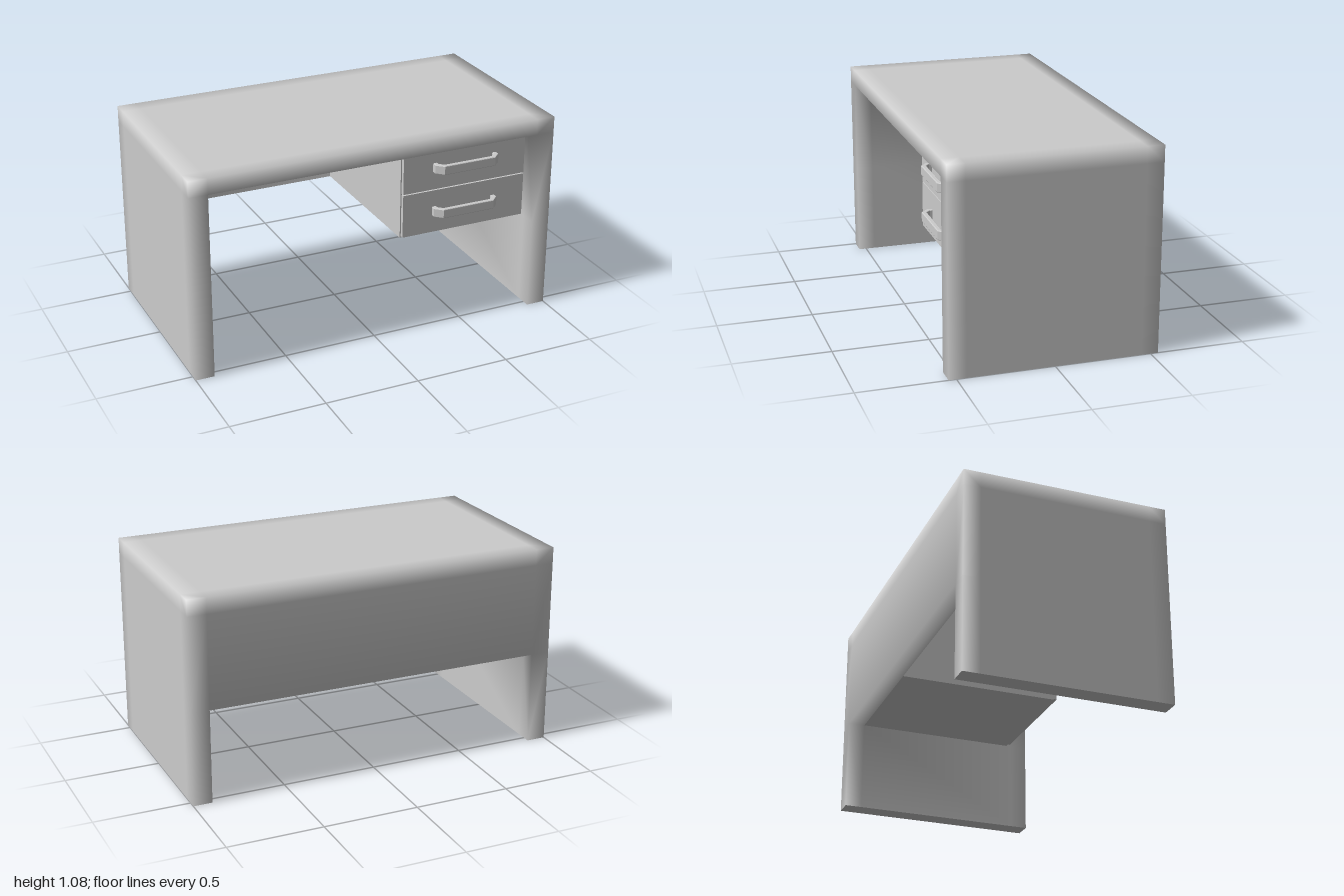
import * as THREE from 'three';

const mat = new THREE.MeshStandardMaterial({ color: 0xcccccc });

function add(parent, name, geometry, x = 0, y = 0, z = 0) {
  const mesh = new THREE.Mesh(geometry, mat);
  mesh.name = name;
  mesh.position.set(x, y, z);
  parent.add(mesh);
  return mesh;
}

function box(parent, name, x0, x1, y0, y1, z0, z1) {
  return add(parent, name, new THREE.BoxGeometry(x1 - x0, y1 - y0, z1 - z0),
    (x0 + x1) / 2, (y0 + y1) / 2, (z0 + z1) / 2);
}

// Skin of a set of filled grid cells, with normals blended across shared corners.
// Downward faces on the floor keep their own flat normals.
function cellSkin(grid, filled) {
  const positions = [], normals = [], index = [], lookup = new Map();
  const inside = (c) => c.every((v, a) => v >= 0 && v < grid[a].length - 1) && filled(...c);

  const vertex = (corner, normal, flat) => {
    const key = corner.join() + flat;
    if (!lookup.has(key)) {
      lookup.set(key, positions.length / 3);
      positions.push(...corner.map((v, a) => grid[a][v]));
      normals.push(0, 0, 0);
    }
    const i = lookup.get(key);
    normal.forEach((v, a) => { normals[i * 3 + a] += v; });
    return i;
  };

  for (let i = 0; i < grid[0].length - 1; i++)
    for (let j = 0; j < grid[1].length - 1; j++)
      for (let k = 0; k < grid[2].length - 1; k++) {
        const cell = [i, j, k];
        if (!inside(cell)) continue;
        for (let axis = 0; axis < 3; axis++)
          for (const dir of [-1, 1]) {
            const next = [...cell];
            next[axis] += dir;
            if (inside(next)) continue;
            const u = (axis + 1) % 3, v = (axis + 2) % 3;
            const normal = [0, 0, 0];
            normal[axis] = dir;
            const flat = axis === 1 && dir < 0 && j === 0;
            const q = [[0, 0], [1, 0], [1, 1], [0, 1]].map(([du, dv]) => {
              const corner = [...cell];
              corner[u] += du;
              corner[v] += dv;
              if (dir > 0) corner[axis] += 1;
              return vertex(corner, normal, flat);
            });
            if (dir < 0) q.reverse();
            index.push(q[0], q[1], q[2], q[0], q[2], q[3]);
          }
      }

  const g = new THREE.BufferGeometry();
  g.setAttribute('position', new THREE.Float32BufferAttribute(positions, 3));
  g.setAttribute('normal', new THREE.Float32BufferAttribute(normals, 3));
  g.setIndex(index);
  g.normalizeNormals();
  return g;
}

// U-shaped pull with slanted corners, lying in the x-z plane
function handleGeometry() {
  const b = 0.004, w = 0.184 - b, d = 0.06 - b, t = 0.016, h = 0.05;
  const outer = [[-w, 0], [-w, 0.022], [-w + 0.035, d], [w - 0.035, d], [w, 0.022], [w, 0]];
  const inner = [[w - t, 0], [w - t, 0.016], [w - 0.042, d - t],
    [-w + 0.042, d - t], [-w + t, 0.016], [-w + t, 0]];
  const shape = new THREE.Shape([...outer, ...inner].map((p) => new THREE.Vector2(...p)));
  const g = new THREE.ExtrudeGeometry(shape, {
    depth: h - 2 * b, bevelEnabled: true, bevelSize: b, bevelThickness: b, bevelSegments: 2,
  });
  g.translate(0, 0, -h / 2 + b);
  g.rotateX(Math.PI / 2);
  return g;
}

export function createModel() {
  const desk = new THREE.Group();
  desk.name = 'desk';

  // One continuous shell: two side panels, top and back panel
  const grid = [
    [-1, -0.9, 0.9, 1],
    [0, 0.495, 0.99, 1.075],
    [-0.54, -0.45, 0.45, 0.54],
  ];
  add(desk, 'deskFrame', cellSkin(grid, (i, j, k) =>
    i !== 1 || j === 2 || (j === 1 && k === 0)));

  // Drawer cabinet hung under the top on the left side
  const cabinet = new THREE.Group();
  cabinet.name = 'drawerCabinet';
  desk.add(cabinet);
  box(cabinet, 'cabinetBody', 0.18, 0.9, 0.495, 0.99, -0.45, 0.42);

  const pull = handleGeometry();
  [['lower', 0.502, 0.737], ['upper', 0.743, 0.982]].forEach(([level, y0, y1]) => {
    const drawer = new THREE.Group();
    drawer.name = level + 'Drawer';
    cabinet.add(drawer);
    box(drawer, 'drawerFront', 0.186, 0.893, y0, y1, 0.41, 0.44);
    add(drawer, 'drawerHandle', pull, 0.538, (y0 + y1) / 2 + 0.002, 0.44);
  });

  return desk;
}
